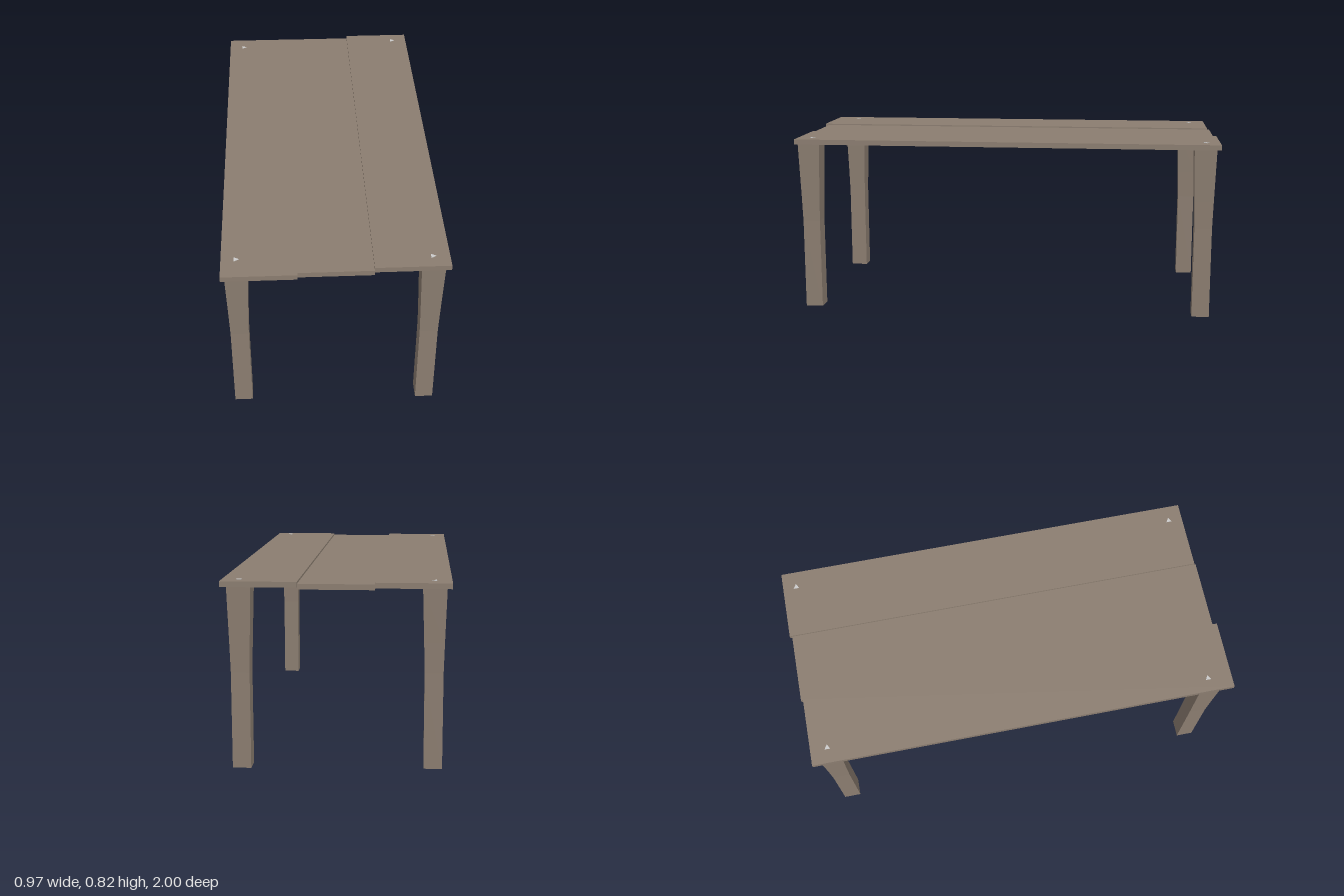
import * as THREE from 'three';

const wood = new THREE.MeshStandardMaterial({ color: 0x8b7d70, flatShading: true });
const metal = new THREE.MeshStandardMaterial({ color: 0xcccccc, flatShading: true });

// Square leg: straight below, flaring gently towards the top
function legGeometry(height) {
  const halfWidths = [[0, 0], [0.04, 0], [0.04, 0.42], [0.0435, 0.55], [0.051, height], [0, height]];
  const profile = halfWidths.map(([w, y]) => new THREE.Vector2(w * Math.SQRT2, y));
  const geometry = new THREE.LatheGeometry(profile, 4).rotateY(Math.PI / 4).toNonIndexed();
  geometry.computeVertexNormals();
  return geometry;
}

export function createModel() {
  const table = new THREE.Group();
  table.name = 'table';

  function add(name, geometry, material, x, y, z) {
    const mesh = new THREE.Mesh(geometry, material);
    mesh.name = name;
    mesh.position.set(x, y, z);
    table.add(mesh);
  }

  // Three slightly misaligned planks: [name, x0, x1, y0, y1, z0, z1]
  const planks = [
    ['rightPlank', -0.484, -0.163, 0.787, 0.811, -0.98, 1.0],
    ['middlePlank', -0.163, 0.16, 0.781, 0.805, -0.99, 0.98],
    ['leftPlank', 0.16, 0.484, 0.79, 0.814, -1.0, 0.973],
  ];
  for (const [name, x0, x1, y0, y1, z0, z1] of planks) {
    add(name, new THREE.BoxGeometry(x1 - x0, y1 - y0, z1 - z0), wood,
      (x0 + x1) / 2, (y0 + y1) / 2, (z0 + z1) / 2);
  }

  // Legs, each with a small three-sided peg head showing above its plank
  const legs = [
    ['frontRight', -0.421, 0.894, 0.787],
    ['frontLeft', 0.41, 0.912, 0.79],
    ['backRight', -0.412, -0.896, 0.787],
    ['backLeft', 0.407, -0.932, 0.79],
  ];
  const peg = new THREE.CylinderGeometry(0.015, 0.015, 0.01, 3).rotateY(Math.PI / 2);
  for (const [name, x, z, height] of legs) {
    add(name + 'Leg', legGeometry(height), wood, x, 0, z);
    add(name + 'Peg', peg, metal, x, height + 0.021, z - 0.005);
  }

  return table;
}
